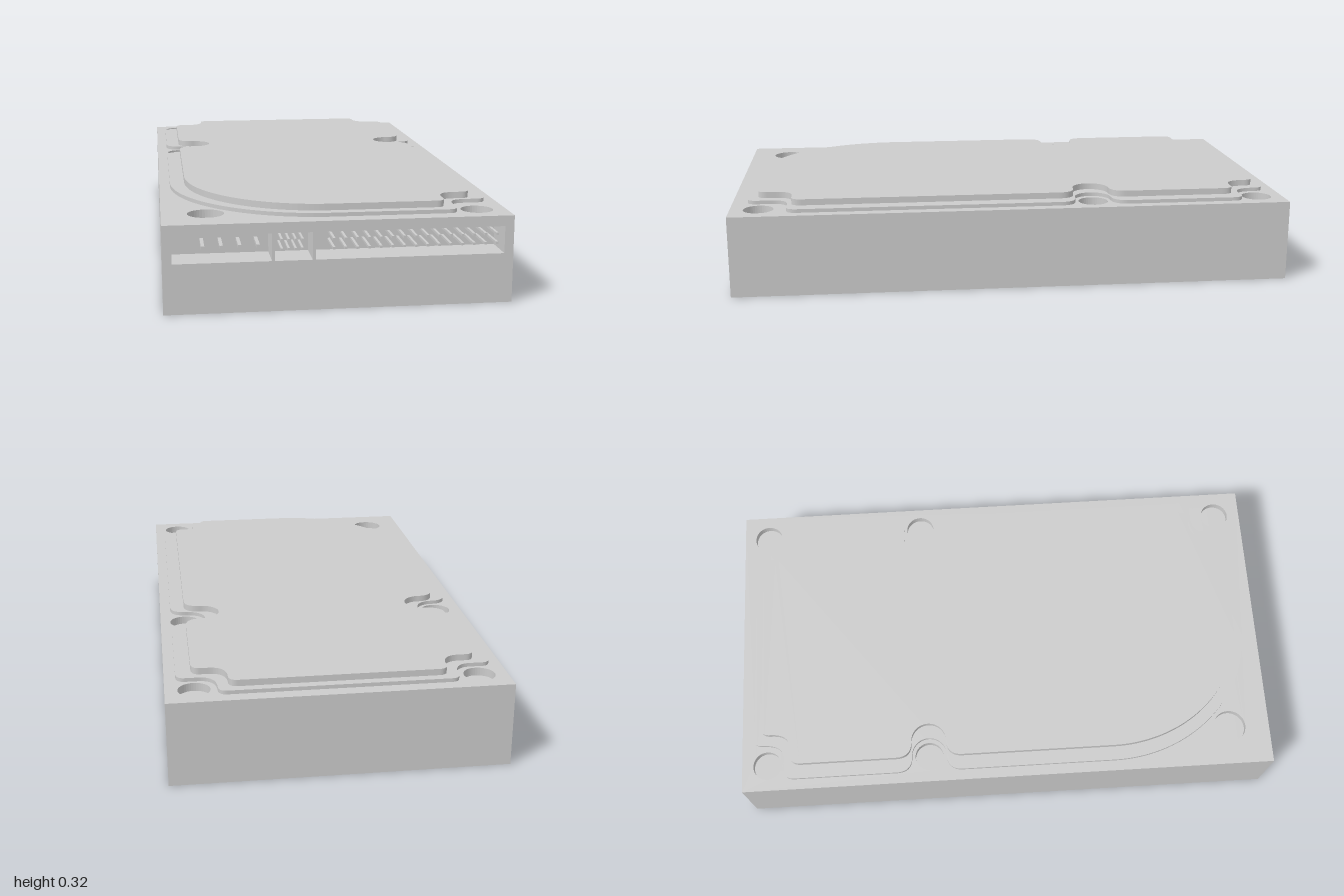
import * as THREE from 'three';

const W = 0.565, TOP = 0.29, FLOOR = 0.262, BACK = 0.88;
const material = new THREE.MeshStandardMaterial({ color: 0xcccccc, flatShading: true });

function add(parent, name, geometry, x = 0, y = 0, z = 0) {
  const mesh = new THREE.Mesh(geometry, material);
  mesh.name = name;
  mesh.position.set(x, y, z);
  parent.add(mesh);
  return mesh;
}

function rect(path, x0, y0, x1, y1) {
  path.moveTo(x0, y0);
  path.lineTo(x1, y0);
  path.lineTo(x1, y1);
  path.lineTo(x0, y1);
  path.closePath();
  return path;
}

// Extrudes a plan drawn in (x, z) downward from y = 0
function slab(shape, depth) {
  return new THREE.ExtrudeGeometry(shape, { depth, bevelEnabled: false, curveSegments: 20 })
    .rotateX(Math.PI / 2);
}

// Cover outline: w half width, k half width between corner notches,
// back/front ends, c0/c1 where the back and front corner notches stop
function coverOutline({ w, k, back, front, c0, c1 }) {
  const s = new THREE.Shape();
  const n = w - 0.06, notchZ = -0.295, r = 0.065;
  s.moveTo(-k + 0.03, back);
  s.lineTo(k - 0.03, back);
  // right back corner
  s.quadraticCurveTo(k, back, k, back + 0.035);
  s.quadraticCurveTo(k, c0, k + 0.06, c0);
  s.lineTo(w - 0.03, c0);
  s.quadraticCurveTo(w, c0, w, c0 + 0.04);
  // right side notch
  s.lineTo(w, -0.42);
  s.quadraticCurveTo(w, notchZ - r, n, notchZ - r);
  s.absarc(n, notchZ, r, -Math.PI / 2, -Math.PI * 1.5, true);
  s.quadraticCurveTo(w, notchZ + r, w, -0.17);
  // right front corner
  s.lineTo(w, c1 - 0.04);
  s.quadraticCurveTo(w, c1, w - 0.03, c1);
  s.lineTo(k + 0.06, c1);
  s.quadraticCurveTo(k, c1, k, c1 + 0.06);
  s.lineTo(k, front - 0.035);
  s.quadraticCurveTo(k, front, k - 0.03, front);
  // large rounded front corner
  s.lineTo(-0.02, front);
  s.absellipse(-0.02, 0.4, w - 0.02, front - 0.4, Math.PI / 2, Math.PI, false);
  // left side notch
  s.lineTo(-w, -0.17);
  s.quadraticCurveTo(-w, notchZ + r, -n, notchZ + r);
  s.absarc(-n, notchZ, r, Math.PI / 2, -Math.PI / 2, true);
  s.quadraticCurveTo(-w, notchZ - r, -w, -0.42);
  // left back corner
  s.lineTo(-w, c0 + 0.04);
  s.quadraticCurveTo(-w, c0, -w + 0.03, c0);
  s.lineTo(-k - 0.06, c0);
  s.quadraticCurveTo(-k, c0, -k, back + 0.035);
  s.quadraticCurveTo(-k, back, -k + 0.03, back);
  return s;
}

export function createModel() {
  const model = new THREE.Group();
  model.name = 'hardDrive';

  // Main block behind the sockets
  add(model, 'body', new THREE.BoxGeometry(2 * W, FLOOR, 1 + BACK), 0, FLOOR / 2, (BACK - 1) / 2);

  // Front section pierced by three sockets
  const sockets = [
    { name: 'powerSocket', x0: -0.535, x1: -0.22, cols: 4, first: -0.437, step: 0.0583, rows: [0.211], size: 0.011, end: 0.985 },
    { name: 'jumperSocket', x0: -0.21, x1: -0.09, cols: 4, first: -0.187, step: 0.0222, rows: [0.228, 0.198], size: 0.007, end: 0.985 },
    { name: 'dataSocket', x0: -0.08, x1: 0.535, cols: 15, first: -0.022, step: 0.038, rows: [0.23, 0.2], size: 0.008, end: 1 },
  ];
  const face = rect(new THREE.Shape(), -W, 0, W, FLOOR);
  for (const s of sockets) face.holes.push(rect(new THREE.Path(), s.x0, 0.165, s.x1, 0.255));
  add(model, 'socketFrame',
    new THREE.ExtrudeGeometry(face, { depth: 1 - BACK, bevelEnabled: false }), 0, 0, BACK);

  // Connector pins
  for (const s of sockets) {
    const pins = new THREE.Group();
    pins.name = s.name + 'Pins';
    const geometry = new THREE.BoxGeometry(s.size, s.size, s.end - BACK);
    for (const y of s.rows)
      for (let i = 0; i < s.cols; i++)
        add(pins, 'pin', geometry, s.first + i * s.step, y, (s.end + BACK) / 2);
    model.add(pins);
  }

  // Top plate with shallow screw wells
  const plate = rect(new THREE.Shape(), -W, -1, W, 1);
  const wells = [
    [-0.47, -0.905, 0.053], [0.47, -0.905, 0.053], [-0.47, -0.295, 0.053],
    [0.477, -0.295, 0.053], [-0.42, 0.85, 0.06], [0.467, 0.9, 0.053],
  ];
  for (const [x, z, r] of wells)
    plate.holes.push(new THREE.Path().absarc(x, z, r, 0, Math.PI * 2, true));
  add(model, 'topPlate', slab(plate, TOP - FLOOR), 0, TOP, 0);

  // Stepped cover
  add(model, 'coverStep', slab(coverOutline(
    { w: 0.527, k: 0.395, back: -0.955, front: 0.945, c0: -0.84, c1: 0.8 }), 0.014), 0, 0.303, 0);
  add(model, 'coverTop', slab(coverOutline(
    { w: 0.476, k: 0.36, back: -0.925, front: 0.91, c0: -0.815, c1: 0.785 }), 0.024), 0, 0.325, 0);

  return model;
}
